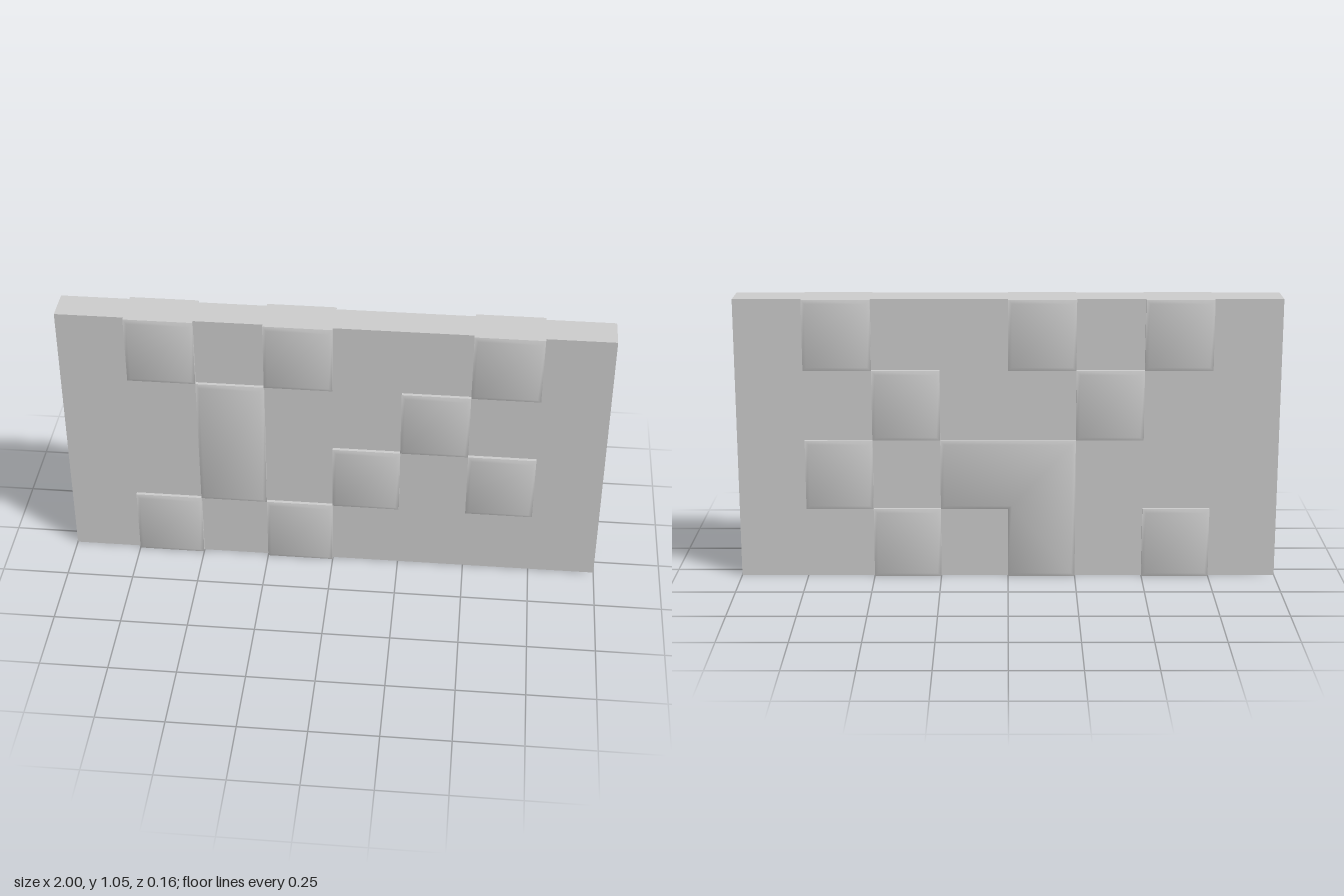
import * as THREE from 'three';
import { toCreasedNormals } from 'three/addons/utils/BufferGeometryUtils.js';

const H = 1.055;          // panel height
const HALF = 0.0625;      // half the gap between the two faces
const COLS = 8, ROWS = 4; // tile grid on each face
const WALL = 0.0125, BEVEL_RISE = 0.0075, BEVEL_INSET = 0.014;

const material = new THREE.MeshStandardMaterial({ color: 0xcccccc });
const sheetMaterial = new THREE.MeshStandardMaterial({ color: 0xcccccc, side: THREE.DoubleSide });

// Outline of a rectangular tile in grid cells, counted from the top left
const rect = (col, row, w = 1, h = 1) =>
  [[col, row], [col + w, row], [col + w, row + h], [col, row + h]];

const frontTiles = [
  rect(1, 0), rect(3, 0), rect(6, 0),
  rect(2, 1, 1, 2), rect(5, 1),
  rect(4, 2), rect(6, 2),
  rect(1, 3), rect(3, 3),
];

const backTiles = [
  rect(1, 0), rect(4, 0), rect(6, 0),
  rect(2, 1), rect(5, 1),
  rect(1, 2),
  [[3, 2], [5, 2], [5, 4], [4, 4], [4, 3], [3, 3]], // L-shaped tile
  rect(2, 3), rect(6, 3),
];

// Raised tile: upright wall, then a chamfer softened into the top
function tileGeometry(outline) {
  const points = outline.map(([c, r]) =>
    new THREE.Vector2(-1 + (2 * c) / COLS, H * (1 - r / ROWS)));
  const geometry = new THREE.ExtrudeGeometry(new THREE.Shape(points), {
    depth: WALL,
    bevelEnabled: true,
    bevelSegments: 1,
    bevelThickness: BEVEL_RISE,
    bevelSize: BEVEL_INSET,
    bevelOffset: -BEVEL_INSET,
  });
  // Flatten the rear chamfer so the tile sits flush on its sheet
  const p = geometry.attributes.position;
  for (let i = 0; i < p.count; i++) p.setZ(i, Math.max(0, p.getZ(i)));
  return toCreasedNormals(geometry, Math.PI / 4);
}

// One face of the panel: a thin sheet carrying its raised tiles
function createFace(name, tiles) {
  const face = new THREE.Group();
  face.name = name;
  const sheet = new THREE.Mesh(new THREE.PlaneGeometry(2, H), sheetMaterial);
  sheet.name = name + 'Sheet';
  sheet.position.set(0, H / 2, HALF);
  face.add(sheet);
  tiles.forEach((outline, i) => {
    const tile = new THREE.Mesh(tileGeometry(outline), material);
    tile.name = `${name}Tile${i + 1}`;
    tile.position.z = HALF;
    face.add(tile);
  });
  return face;
}

export function createModel() {
  const model = new THREE.Group();
  model.name = 'tiledPanel';

  const front = createFace('frontFace', frontTiles);
  const back = createFace('backFace', backTiles);
  back.rotation.y = Math.PI;

  // Top strip joins the faces; the ends and bottom stay open
  const top = new THREE.Mesh(new THREE.PlaneGeometry(2, 2 * HALF), sheetMaterial);
  top.name = 'topStrip';
  top.rotation.x = -Math.PI / 2;
  top.position.y = H;

  model.add(front, back, top);
  return model;
}
